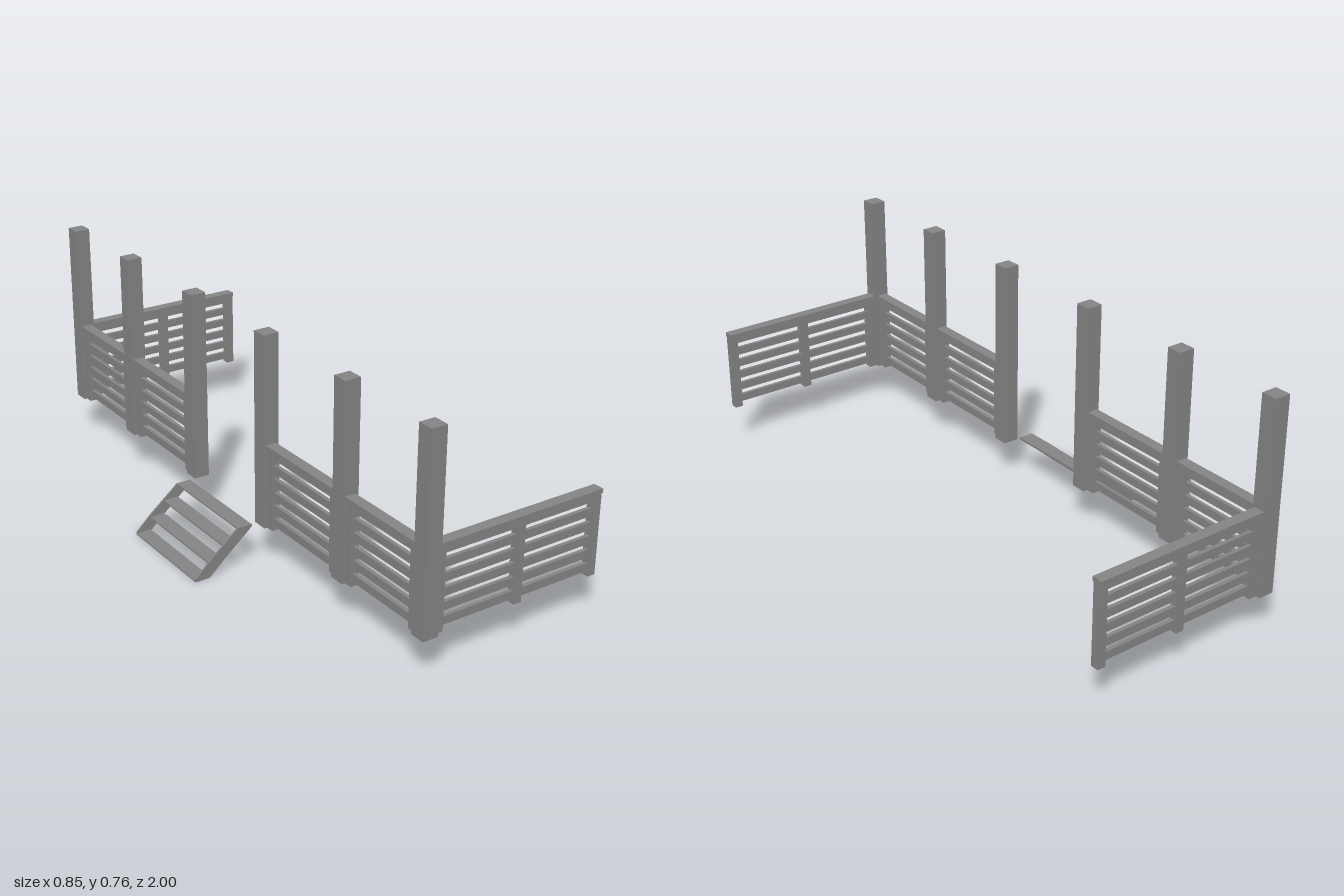
import * as THREE from 'three';

const wood = new THREE.MeshStandardMaterial({ color: 0x848484, flatShading: true });

const BASE = 0.14;      // underside of the posts
const POST = 0.052;     // width of the tall posts
const BALUSTER = 0.027; // width of the short posts
const BOARD = 0.005;    // thickness of the step boards

function box(parent, name, w, h, d, x, y, z) {
  const mesh = new THREE.Mesh(new THREE.BoxGeometry(w, h, d), wood);
  mesh.name = name;
  mesh.position.set(x, y, z);
  parent.add(mesh);
}

// A railing along local +x from 0 to length, with evenly spaced short posts
function railing(name, length, postCount) {
  const g = new THREE.Group();
  g.name = name;
  box(g, 'capRail', length, 0.013, 0.036, length / 2, 0.4095, 0);
  for (let i = 0; i < 6; i++) {
    box(g, 'slat', length - BALUSTER, 0.026, 0.012, length / 2, 0.1675 + i * 0.0443, 0);
  }
  for (let i = 0; i < postCount; i++) {
    const x = BALUSTER / 2 + (i * (length - BALUSTER)) / (postCount - 1);
    box(g, 'shortPost', BALUSTER, 0.403 - BASE, BALUSTER, x, (0.403 + BASE) / 2, 0);
  }
  return g;
}

// Steps made of thin boards: two stringers and four treads
function steps() {
  const g = new THREE.Group();
  g.name = 'steps';
  const outline = [[-0.428, 0], [-0.378, 0], [-0.326, 0.047], [-0.225, 0.132],
    [-0.225, 0.139], [-0.276, 0.139], [-0.377, 0.056], [-0.428, 0.008]];
  const shape = new THREE.Shape(outline.map(([x, y]) => new THREE.Vector2(x, y)));
  const board = new THREE.ExtrudeGeometry(shape, { depth: BOARD, bevelEnabled: false });
  for (const side of [-1, 1]) {
    const stringer = new THREE.Mesh(board, wood);
    stringer.name = 'stringer';
    stringer.position.z = side * 0.181 - BOARD / 2;
    g.add(stringer);
  }
  for (let i = 0; i < 4; i++) {
    box(g, 'tread', 0.05, BOARD, 0.36, -0.403 + i * 0.0508, BOARD / 2 + i * 0.0446, 0);
  }
  return g;
}

export function createModel() {
  const model = new THREE.Group();
  model.name = 'porchRailing';
  const postX = -0.184;
  const postZ = [0.204, 0.605, 0.974];

  for (const side of [-1, 1]) {
    // Tall posts
    for (const z of postZ) {
      box(model, 'tallPost', POST, 0.765 - BASE, POST, postX, (0.765 + BASE) / 2, side * z);
    }
    // Railings between the tall posts
    for (let i = 0; i < 2; i++) {
      const start = postZ[i] + POST / 2;
      const rail = railing('entranceRailing', postZ[i + 1] - POST / 2 - start, 2);
      rail.rotation.y = -side * Math.PI / 2;
      rail.position.set(postX - 0.002, 0, side * start);
      model.add(rail);
    }
    // Railing running away from the corner post
    const rail = railing('endRailing', 0.584, 3);
    rail.position.set(postX + POST / 2, 0, side * 0.972);
    model.add(rail);
  }

  model.add(steps());
  return model;
}
